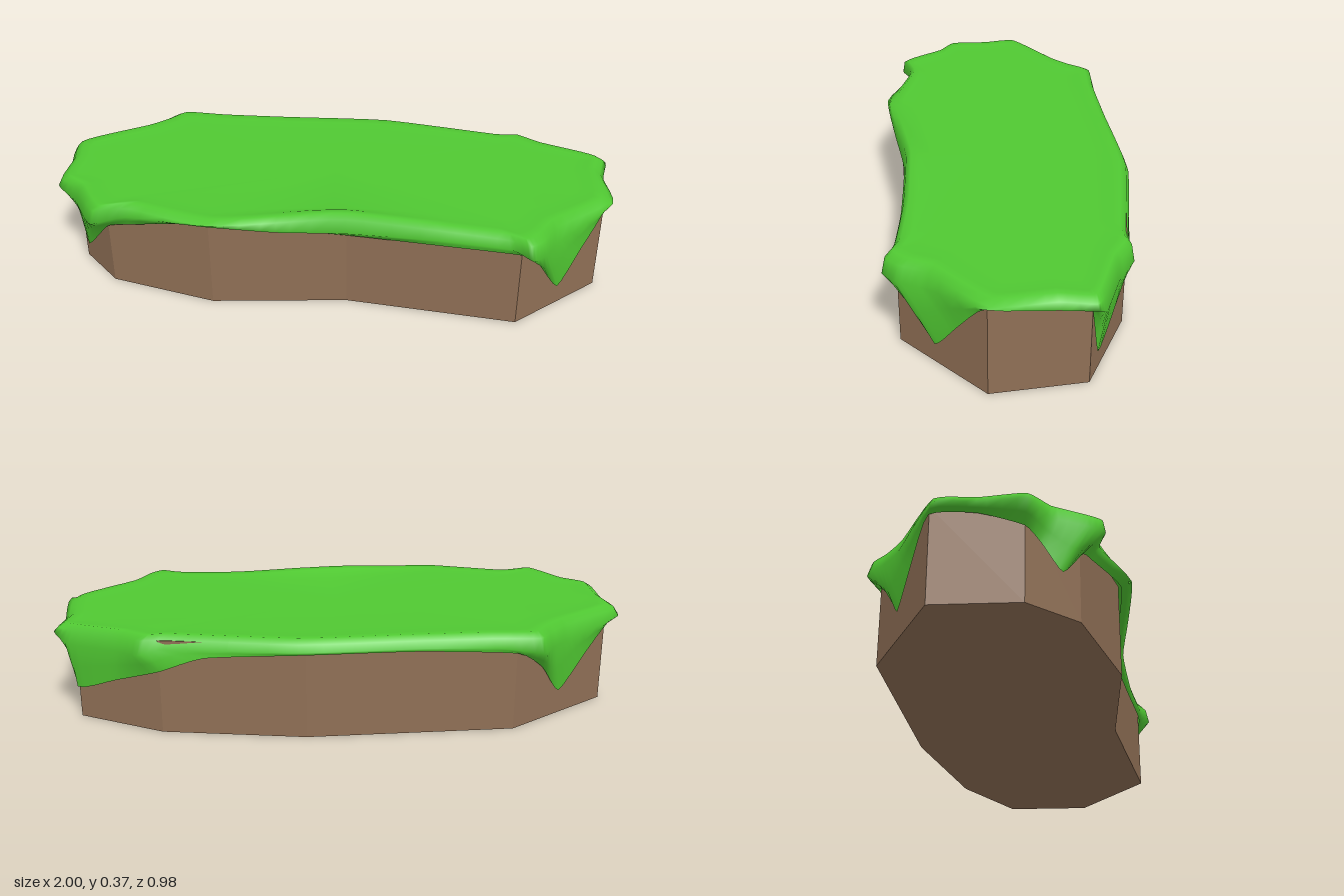
import * as THREE from 'three';

// Footprint of the earth block as [x, z]
const FOOT = [[-0.93, 0.04], [-0.8, 0.2], [-0.43, 0.33], [0.04, 0.32], [0.62, 0.44], [0.93, 0.205],
  [0.93, -0.11], [0.65, -0.29], [0.17, -0.41], [-0.54, -0.455], [-0.93, -0.245]];

// Grass edge: overhanging rim x, z, then hanging hem x, z, y
const EDGE = [
  [-1.0, 0.05, -0.945, 0.04, 0.25], [-0.93, 0.12, -0.92, 0.09, 0.2], [-0.88, 0.22, -0.89, 0.15, 0.12],
  [-0.84, 0.28, -0.8, 0.21, 0.235], [-0.72, 0.265, -0.72, 0.24, 0.26], [-0.45, 0.375, -0.43, 0.34, 0.33],
  [-0.2, 0.37, -0.2, 0.335, 0.305], [0.04, 0.36, 0.04, 0.33, 0.28], [0.35, 0.4, 0.35, 0.39, 0.28],
  [0.58, 0.45, 0.62, 0.445, 0.28], [0.65, 0.488, 0.69, 0.4, 0.21], [0.7, 0.45, 0.77, 0.345, 0.085],
  [0.76, 0.36, 0.85, 0.285, 0.2], [0.96, 0.205, 0.935, 0.21, 0.325], [0.97, 0.0, 0.935, 0.0, 0.305],
  [1.0, -0.11, 0.935, -0.1, 0.31], [0.95, -0.15, 0.935, -0.13, 0.12], [0.8, -0.23, 0.8, -0.215, 0.17],
  [0.72, -0.295, 0.65, -0.3, 0.225], [0.63, -0.3, 0.5, -0.34, 0.28], [0.2, -0.42, 0.17, -0.418, 0.3],
  [-0.2, -0.445, -0.2, -0.442, 0.3], [-0.46, -0.465, -0.54, -0.462, 0.28], [-0.62, -0.488, -0.65, -0.405, 0.2],
  [-0.68, -0.43, -0.73, -0.362, 0.09], [-0.76, -0.365, -0.84, -0.305, 0.2], [-0.985, -0.235, -0.94, -0.245, 0.3],
  [-0.985, -0.1, -0.94, -0.1, 0.3],
];

// Closed loop through the points, with `sub` samples per span
function loop(points, sub = 4) {
  const curve = new THREE.CatmullRomCurve3(points, true, 'catmullrom', 0.25);
  const n = points.length * sub;
  return Array.from({ length: n }, (_, i) => curve.getPoint(i / n));
}

// Skin over equal rings, closed by a centre point
function skin(rings, centre) {
  const n = rings[0].length;
  const pos = [], idx = [];
  rings.flat().concat(centre).forEach((p) => pos.push(p.x, p.y, p.z));
  for (let r = 0; r < rings.length; r++) {
    for (let i = 0; i < n; i++) {
      const a = r * n + i, b = r * n + (i + 1) % n;
      if (r === rings.length - 1) idx.push(a, b, rings.length * n);
      else idx.push(a, b, b + n, a, b + n, a + n);
    }
  }
  const geo = new THREE.BufferGeometry();
  geo.setAttribute('position', new THREE.Float32BufferAttribute(pos, 3));
  geo.setIndex(idx);
  geo.computeVertexNormals();
  return geo;
}

export function createModel() {
  const group = new THREE.Group();
  group.name = 'grassPlatform';

  // Flat-sided earth block
  const shape = new THREE.Shape(FOOT.map(([x, z]) => new THREE.Vector2(x, -z)));
  const earthGeo = new THREE.ExtrudeGeometry(shape, { depth: 0.333, bevelEnabled: false });
  earthGeo.rotateX(-Math.PI / 2);
  const earth = new THREE.Mesh(earthGeo, new THREE.MeshStandardMaterial({ color: 0x8f6f55 }));
  earth.name = 'earthBlock';
  group.add(earth);

  // Grass hem and overhanging rim
  const hem = loop(EDGE.map(([, , x, z, y]) => new THREE.Vector3(x, y, z)));
  const rim = loop(EDGE.map(([x, z, , , y]) => new THREE.Vector3(x, y < 0.24 ? 0.285 : Math.max(0.305, y + 0.01), z)));
  const between = hem.map((p, i) => p.clone().lerp(rim[i], 0.5));

  // Rounded shoulder and nearly flat top, with a low swell at the front
  const inset = (sx, sz, y) => rim.map((p) => {
    const swell = p.z > 0.2 ? 0.02 * Math.exp(-((p.x / 0.28) ** 2)) : 0;
    return new THREE.Vector3(p.x * sx, y + swell, p.z * sz);
  });
  const flat = rim.map((p) => new THREE.Vector3(p.x * 0.88, 0.345, p.z * 0.72));
  const rings = [hem, between, rim, inset(0.985, 0.975, 0.335), inset(0.96, 0.925, 0.351), inset(0.93, 0.85, 0.348), flat];
  const grass = new THREE.Mesh(
    skin(rings, new THREE.Vector3(0, 0.345, 0)),
    new THREE.MeshStandardMaterial({ color: 0x50c832, side: THREE.DoubleSide }),
  );
  grass.name = 'grassCover';
  group.add(grass);

  return group;
}
